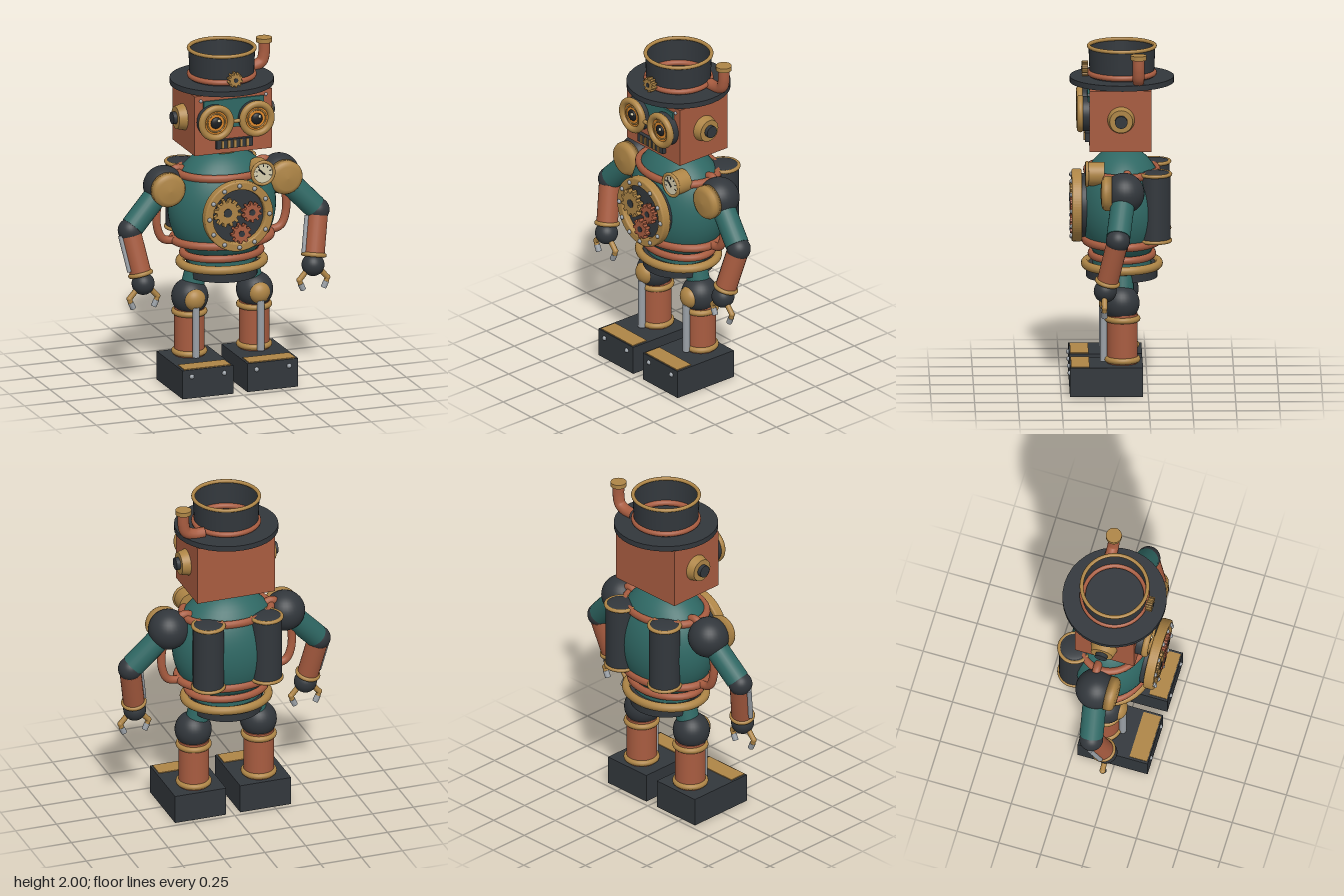
import * as THREE from 'three';

const mat = (color, side = THREE.FrontSide) => new THREE.MeshStandardMaterial({ color, side });
const V = (x, y, z) => new THREE.Vector3(x, y, z);
const AXIS = -0.103; // z of the body's vertical axis

export function createModel() {
  const root = new THREE.Group();
  const copper = mat(0xa85c40), gold = mat(0xae8546), teal = mat(0x2f6864), dark = mat(0x32373c);
  const steel = mat(0x9aa0a6), orange = mat(0xe08a2c), cream = mat(0xd8cfb0), black = mat(0x1c1f22);

  // helpers
  const add = (name, geo, m, x = 0, y = 0, z = 0, parent = root) => {
    const mesh = new THREE.Mesh(geo, m);
    mesh.name = name;
    mesh.position.set(x, y, z);
    parent.add(mesh);
    return mesh;
  };
  const ball = (name, r, m, x, y, z, parent) => add(name, new THREE.SphereGeometry(r, 32, 20), m, x, y, z, parent);
  const box = (name, w, h, d, m, x, y, z, parent) => add(name, new THREE.BoxGeometry(w, h, d), m, x, y, z, parent);
  const post = (name, r, y0, y1, m, x, z, parent) =>
    add(name, new THREE.CylinderGeometry(r, r, y1 - y0, 36), m, x, (y0 + y1) / 2, z, parent);
  // horizontal ring, optionally oval
  const hoop = (name, r, t, m, x, y, z, sz = 1, parent) => {
    const h = add(name, new THREE.TorusGeometry(r, t, 12, 56).rotateX(Math.PI / 2), m, x, y, z, parent);
    h.scale.z = sz;
    return h;
  };
  // disc facing the front, from z0 to z1
  const disc = (name, r, z0, z1, m, x, y, parent, r0 = r) =>
    add(name, new THREE.CylinderGeometry(r, r0, z1 - z0, 40).rotateX(Math.PI / 2), m, x, y, (z0 + z1) / 2, parent);
  const rod = (name, a, b, r, m, parent) => {
    const mid = a.clone().add(b).multiplyScalar(0.5);
    const mesh = add(name, new THREE.CylinderGeometry(r, r, a.distanceTo(b), 24), m, mid.x, mid.y, mid.z, parent);
    mesh.quaternion.setFromUnitVectors(V(0, 1, 0), b.clone().sub(a).normalize());
    return mesh;
  };
  const pipe = (name, pts, r, m, parent) =>
    add(name, new THREE.TubeGeometry(new THREE.CatmullRomCurve3(pts), 40, r, 14), m, 0, 0, 0, parent);
  const gear = (name, r, teeth, depth, m, x, y, z, hub) => {
    const s = new THREE.Shape();
    for (let i = 0; i < teeth; i++) {
      [[0, 0.76], [0.3, 0.76], [0.42, 1], [0.78, 1], [0.9, 0.76]].forEach(([f, k], j) => {
        const a = (i + f) / teeth * Math.PI * 2;
        s[i + j ? 'lineTo' : 'moveTo'](Math.cos(a) * r * k, Math.sin(a) * r * k);
      });
    }
    s.holes.push(new THREE.Path().absarc(0, 0, r * 0.3, 0, Math.PI * 2, true));
    add(name, new THREE.ExtrudeGeometry(s, { depth, bevelEnabled: false }), m, x, y, z);
    disc(name + 'Hub', r * 0.3, z, z + depth + 0.004, hub, x, y);
  };

  // hat
  post('hatBrim', 0.3, 1.78, 1.812, dark, 0, AXIS);
  add('hatCrown', new THREE.CylinderGeometry(0.192, 0.185, 0.18, 48, 1, true), mat(0x32373c, THREE.DoubleSide), 0, 1.9, AXIS);
  hoop('hatRim', 0.19, 0.011, gold, 0, 1.988, AXIS);
  hoop('hatBand', 0.184, 0.017, copper, 0, 1.832, AXIS);
  gear('hatGear', 0.044, 10, 0.035, gold, 0, 1.855, 0.092, dark);
  pipe('hatPipe', [V(0.17, 1.825, -0.195), V(0.23, 1.827, -0.195), V(0.28, 1.85, -0.195),
    V(0.295, 1.9, -0.195), V(0.295, 1.98, -0.195)], 0.034, copper);
  post('hatPipeCap', 0.046, 1.966, 1.992, gold, 0.295, -0.195);

  // head
  box('head', 0.476, 0.356, 0.356, copper, 0, 1.592, -0.093);
  box('browPlate', 0.37, 0.17, 0.012, teal, 0, 1.652, 0.089);
  box('mouth', 0.222, 0.052, 0.025, dark, 0, 1.473, 0.097);
  for (let i = -2; i <= 2; i++) box('tooth', 0.014, 0.044, 0.01, gold, i * 0.038, 1.473, 0.112);
  rod('goggleBridge', V(-0.04, 1.615, 0.135), V(0.04, 1.615, 0.135), 0.012, gold);
  post('neck', 0.085, 1.34, 1.42, copper, 0, AXIS);
  hoop('neckRing', 0.085, 0.015, gold, 0, 1.39, AXIS);

  for (const s of [-1, 1]) {
    // goggles
    const x = s * 0.125, y = 1.616;
    disc('goggleCase', 0.1, 0.08, 0.13, dark, x, y);
    add('goggleRim', new THREE.TorusGeometry(0.088, 0.02, 14, 48), gold, x, y, 0.138);
    disc('iris', 0.072, 0.12, 0.138, orange, x, y);
    add('irisRing', new THREE.TorusGeometry(0.054, 0.005, 8, 40), gold, x, y, 0.138);
    ball('pupil', 0.034, black, x, y, 0.138).scale.z = 0.45;
    ball('glint', 0.009, cream, x + 0.012, y + 0.014, 0.15);
    ball('headRivet', 0.01, steel, s * 0.2, 1.74, 0.086);
    // ears
    add('ear', new THREE.CylinderGeometry(0.066, 0.078, 0.05, 36).rotateZ(-s * Math.PI / 2), gold, s * 0.262, 1.6, -0.095);
    add('earKnob', new THREE.CylinderGeometry(0.036, 0.036, 0.04, 28).rotateZ(Math.PI / 2), dark, s * 0.29, 1.6, -0.095);
  }

  // torso and waist
  add('torso', new THREE.SphereGeometry(1, 48, 32), teal, 0, 1.05, AXIS).scale.set(0.32, 0.35, 0.25);
  hoop('upperRing', 0.262, 0.023, copper, 0, 1.262, AXIS, 0.78);
  hoop('lowerRing', 0.29, 0.024, copper, 0, 0.86, AXIS, 0.75);
  post('waist', 0.2, 0.7, 0.86, teal, 0, AXIS).scale.z = 0.85;
  hoop('waistRing', 0.23, 0.022, copper, 0, 0.772, AXIS, 0.78);
  hoop('belt', 0.245, 0.026, gold, 0, 0.714, AXIS, 0.87);
  post('pelvis', 0.205, 0.636, 0.72, dark, 0, AXIS);

  // chest hatch with gears
  const hatchY = 1.053;
  disc('hatchPlate', 0.185, 0.04, 0.15, dark, 0, hatchY);
  const ringShape = new THREE.Shape().absarc(0, 0, 0.2, 0, Math.PI * 2);
  ringShape.holes.push(new THREE.Path().absarc(0, 0, 0.168, 0, Math.PI * 2, true));
  add('hatchRing', new THREE.ExtrudeGeometry(ringShape, { depth: 0.04, bevelSize: 0.009, bevelThickness: 0.009, bevelSegments: 3, curveSegments: 40 }),
    gold, 0, hatchY, 0.137);
  for (let i = 0; i < 12; i++) {
    const a = i / 12 * Math.PI * 2;
    ball('hatchRivet', 0.013, steel, Math.cos(a) * 0.184, hatchY + Math.sin(a) * 0.184, 0.186);
  }
  gear('largeGear', 0.084, 12, 0.03, gold, -0.075, 1.085, 0.165, dark);
  gear('middleGear', 0.06, 10, 0.03, copper, 0.075, 1.073, 0.165, dark);
  gear('smallGear', 0.06, 9, 0.03, copper, 0.01, 0.952, 0.165, dark);

  // pressure gauge
  const gx = 0.177, gy = 1.272;
  disc('gaugeBody', 0.068, 0.0, 0.1, gold, gx, gy);
  add('gaugeRim', new THREE.TorusGeometry(0.066, 0.01, 12, 40), gold, gx, gy, 0.1);
  disc('gaugeFace', 0.058, 0.09, 0.104, cream, gx, gy);
  for (let i = 0; i < 7; i++) {
    const a = Math.PI * (-0.1 + 1.2 * i / 6);
    box('gaugeTick', 0.013, 0.004, 0.003, black, gx + Math.cos(a) * 0.045, gy + Math.sin(a) * 0.045, 0.105).rotation.z = a;
  }
  rod('gaugeNeedle', V(gx + 0.008, gy - 0.008, 0.107), V(gx - 0.028, gy + 0.026, 0.107), 0.004, black);

  for (const s of [-1, 1]) {
    const P = (x, y, z) => V(s * x, y, z);
    // side pipes and back tanks
    pipe('sidePipe', [P(0.2, 1.26, -0.13), P(0.27, 1.285, -0.13), P(0.35, 1.2, -0.12), P(0.394, 1.07, -0.11),
      P(0.394, 0.95, -0.11), P(0.36, 0.878, -0.11), P(0.26, 0.858, -0.11)], 0.024, copper);
    post('tank', 0.09, 0.875, 1.28, dark, s * 0.177, -0.29);
    for (const y of [0.883, 1.272]) {
      hoop('tankRing', 0.089, 0.011, gold, s * 0.177, y, -0.29);
      ball('tankCap', 0.085, dark, s * 0.177, y, -0.29).scale.y = 0.2;
    }

    // arm
    const arm = new THREE.Group();
    arm.name = s > 0 ? 'leftArm' : 'rightArm';
    root.add(arm);
    const shoulder = P(0.355, 1.195, -0.11), elbow = P(0.577, 0.962, -0.072), hand = P(0.522, 0.657, 0);
    ball('shoulder', 0.118, dark, ...shoulder, arm);
    const padProfile = [[0, 0], [0.1, 0], [0.1, 0.035], [0.092, 0.05], [0.07, 0.06], [0, 0.066]];
    add('shoulderPad', new THREE.LatheGeometry(padProfile.map(p => new THREE.Vector2(...p)), 40).rotateX(Math.PI / 2),
      gold, s * 0.36, 1.195, -0.04, arm);
    rod('upperArm', shoulder, P(0.56, 0.98, -0.075), 0.069, teal, arm);
    ball('elbow', 0.069, dark, ...elbow, arm);
    const wrist = elbow.clone().lerp(hand, 0.82);
    rod('forearm', elbow.clone().lerp(hand, 0.1), wrist, 0.062, copper, arm);
    const cuff = add('wristRing', new THREE.TorusGeometry(0.061, 0.013, 12, 36), gold, ...wrist, arm);
    cuff.quaternion.setFromUnitVectors(V(0, 0, 1), hand.clone().sub(elbow).normalize());
    const off = V(-0.064, 0, 0.005);
    rod('armPiston', elbow.clone().lerp(hand, 0.08).add(off), elbow.clone().lerp(hand, 0.76).add(off), 0.015, steel, arm);
    ball('hand', 0.066, dark, ...hand, arm);
    for (const f of [-1, 1]) {
      const at = (dx, dy) => hand.clone().add(V(f * dx, dy, 0.005));
      rod('fingerBase', at(0.04, -0.03), at(0.086, -0.082), 0.016, gold, arm);
      ball('knuckle', 0.017, gold, ...at(0.086, -0.082), arm);
      rod('fingerEnd', at(0.086, -0.082), at(0.075, -0.118), 0.015, gold, arm);
      rod('fingerTip', at(0.079, -0.105), at(0.062, -0.142), 0.017, steel, arm);
    }

    // leg
    const leg = new THREE.Group();
    leg.name = s > 0 ? 'leftLeg' : 'rightLeg';
    root.add(leg);
    const lx = s * 0.199;
    rod('thigh', P(0.155, 0.68, AXIS), P(0.195, 0.53, AXIS), 0.066, teal, leg);
    ball('knee', 0.107, dark, lx, 0.52, -0.095, leg);
    ball('kneeCap', 0.064, gold, lx, 0.52, -0.02, leg).scale.z = 0.8;
    post('shin', 0.088, 0.17, 0.46, copper, lx, AXIS, leg);
    for (const y of [0.192, 0.43]) hoop('shinRing', 0.086, 0.018, gold, lx, y, AXIS, 1, leg);
    post('shinPiston', 0.021, 0.18, 0.48, steel, lx, 0.005, leg);
    box('foot', 0.312, 0.17, 0.42, dark, lx, 0.085, -0.01, leg);
    box('toePlate', 0.285, 0.012, 0.105, gold, lx, 0.169, 0.14, leg);
    for (const f of [-1, 1]) ball('footRivet', 0.014, steel, lx + f * 0.1, 0.13, 0.2, leg);
  }
  return root;
}
